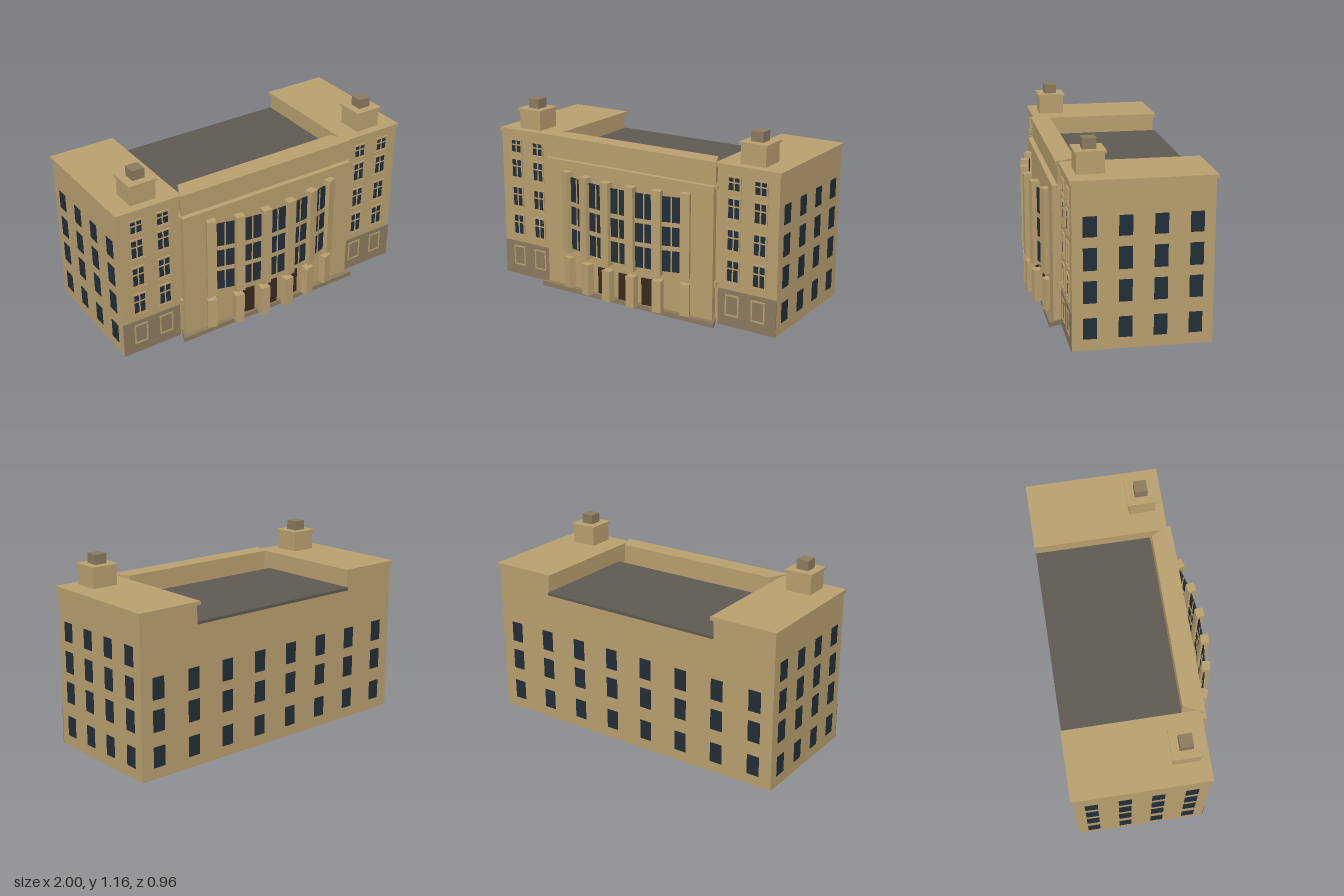
import * as THREE from 'three';

const mat = (name, color) => {
  const m = new THREE.MeshStandardMaterial({ color });
  m.name = name;
  return m;
};

export function createModel() {
  const stone = mat('sandstone', 0xb89f6f);
  const baseStone = mat('brown base stone', 0x8b7a5e);
  const roof = mat('dark roof', 0x5e5a53);
  const glass = mat('dark glass', 0x232e38);
  const wood = mat('door wood', 0x3b291f);

  const model = new THREE.Group();
  model.name = 'building';

  const group = (name, parent = model) => {
    const g = new THREE.Group();
    g.name = name;
    parent.add(g);
    return g;
  };

  // Box given by its limits on each axis
  const block = (name, m, [x0, x1], [y0, y1], [z0, z1], parent = model) => {
    const mesh = new THREE.Mesh(new THREE.BoxGeometry(x1 - x0, y1 - y0, z1 - z0), m);
    mesh.position.set((x0 + x1) / 2, (y0 + y1) / 2, (z0 + z1) / 2);
    mesh.name = name;
    parent.add(mesh);
    return mesh;
  };

  // Upright prism from a plan outline of [x, z] points
  const prism = (name, m, plan, y0, y1) => {
    const shape = new THREE.Shape(plan.map(([x, z]) => new THREE.Vector2(x, -z)));
    const geo = new THREE.ExtrudeGeometry(shape, { depth: y1 - y0, bevelEnabled: false });
    geo.rotateX(-Math.PI / 2);
    geo.translate(0, y0, 0);
    const mesh = new THREE.Mesh(geo, m);
    mesh.name = name;
    model.add(mesh);
  };

  // Rectangular surround with an opening, standing on the plane z
  const surround = (name, x, [y0, y1], w, rim, z, depth, parent) => {
    const s = new THREE.Shape();
    const rect = (p, a, b, c, d) => p.moveTo(a, b).lineTo(c, b).lineTo(c, d).lineTo(a, d).closePath();
    rect(s, -w / 2, y0, w / 2, y1);
    const hole = new THREE.Path();
    rect(hole, -w / 2 + rim, y0 + rim, w / 2 - rim, y1 - rim);
    s.holes.push(hole);
    const mesh = new THREE.Mesh(new THREE.ExtrudeGeometry(s, { depth, bevelEnabled: false }), stone);
    mesh.position.set(x, 0, z);
    mesh.name = name;
    parent.add(mesh);
  };

  // Central block and its low roof
  block('centralBlock', stone, [-0.6, 0.6], [0, 0.84], [-0.472, 0.32]);
  block('centralRoof', roof, [-0.595, 0.595], [0.84, 0.858], [-0.482, 0.228]);

  // Entrance front: parapet, cap, projecting wall and flared step
  const parapet = (f, w) => [[-w, f], [w, f], [0.58, 0.305], [0.545, 0.228], [-0.545, 0.228], [-0.58, 0.305]];
  prism('parapet', stone, parapet(0.338, 0.595), 0.84, 0.96);
  prism('parapetCap', stone, parapet(0.35, 0.6), 0.96, 0.98);
  prism('entranceWall', stone, [[-0.585, 0.3], [-0.6, 0.37], [0.6, 0.37], [0.585, 0.3]], 0.02, 0.84);
  block('stringCourse', stone, [-0.605, 0.605], [0.23, 0.262], [0.31, 0.346]);
  block('upperCourse', stone, [-0.605, 0.605], [0.82, 0.84], [0.31, 0.346]);
  prism('entranceStep', baseStone, [[-0.585, 0.3], [-0.63, 0.4], [0.63, 0.4], [0.585, 0.3]], 0, 0.03);

  // Side wings with cornices and chimneys
  const frontRows = [[0.28, 0.405], [0.47, 0.59], [0.66, 0.775], [0.825, 0.9]];
  const allRows = [[0.068, 0.19], [0.277, 0.405], [0.465, 0.594], [0.655, 0.771]];
  for (const s of [-1, 1]) {
    const wing = group(s > 0 ? 'leftWing' : 'rightWing');
    const span = (a, b) => (s > 0 ? [a, b] : [-b, -a]);
    block('wingBody', stone, span(0.595, 0.99), [0, 0.95], [-0.472, 0.32], wing);
    block('cornice', stone, span(0.58, 1), [0.95, 0.972], [-0.485, 0.33], wing);
    block('wingBase', baseStone, span(0.61, 0.99), [0, 0.225], [0.32, 0.325], wing);
    block('chimneyBase', stone, span(0.715, 0.875), [0.972, 1.086], [0.117, 0.275], wing);
    block('chimneyCap', stone, span(0.706, 0.884), [1.086, 1.1], [0.108, 0.284], wing);
    block('chimneyPot', baseStone, span(0.756, 0.834), [1.1, 1.16], [0.157, 0.235], wing);

    for (const cx of [0.705, 0.875]) {
      const x = s * cx;
      surround('basePanel', x, [0.065, 0.197], 0.09, 0.009, 0.324, 0.005, wing);
      for (const [y0, y1] of frontRows) {
        const win = group('frontWindow', wing);
        const bar = y0 + (y1 - y0) * 0.62;
        block('pane', glass, [x - 0.036, x + 0.036], [y0, y1], [0.318, 0.323], win);
        surround('windowSurround', x, [y0 - 0.009, y1 + 0.009], 0.09, 0.009, 0.32, 0.008, win);
        block('mullion', stone, [x - 0.004, x + 0.004], [y0, y1], [0.32, 0.326], win);
        block('transom', stone, [x - 0.036, x + 0.036], [bar - 0.004, bar + 0.004], [0.32, 0.326], win);
        block('sill', stone, [x - 0.05, x + 0.05], [y0 - 0.016, y0 - 0.007], [0.32, 0.331], win);
      }
    }

    // Side windows
    for (const z of [0.221, 0.023, -0.174, -0.372])
      for (const row of allRows)
        block('sideWindow', glass, span(0.987, 0.993), row, [z - 0.038, z + 0.038], wing);
  }

  // Rear windows
  const rear = group('rearWindows');
  for (let i = 0; i < 8; i++) {
    const x = (i - 3.5) * 0.249;
    for (const row of allRows.slice(0, 3))
      block('rearWindow', glass, [x - 0.039, x + 0.039], row, [-0.475, -0.469], rear);
  }

  // Curved portico: parts set around an arc centred behind the entrance
  const arcZ = -0.865;
  const onArc = (name, m, angle, r, w, [y0, y1], d, parent, dx = 0) => {
    const pivot = group(name, parent);
    pivot.position.z = arcZ;
    pivot.rotation.y = angle;
    block(name, m, [dx - w / 2, dx + w / 2], [y0, y1], [r - d / 2, r + d / 2], pivot);
  };
  const step = 0.131;
  const portico = group('portico');
  for (let i = 0; i < 6; i++) {
    const a = (i - 2.5) * step;
    onArc('lowerPillar', stone, a, 1.313, 0.057, [0.03, 0.228], 0.05, portico);
    onArc('upperPillar', stone, a, 1.32, 0.057, [0.264, 0.782], 0.05, portico);
  }
  for (let k = -2; k <= 2; k++) {
    const a = k * step;
    onArc('tallGlazing', glass, a, 1.311, 0.125, [0.29, 0.747], 0.008, portico);
    onArc('glazingMullion', stone, a, 1.311, 0.008, [0.29, 0.747], 0.014, portico);
    for (const y of [0.435, 0.58])
      onArc('glazingBand', stone, a, 1.311, 0.125, [y - 0.014, y + 0.014], 0.013, portico);
    if (Math.abs(k) < 2) onArc('door', wood, a, 1.252, 0.096, [0.03, 0.2], 0.01, portico);
  }

  return model;
}
